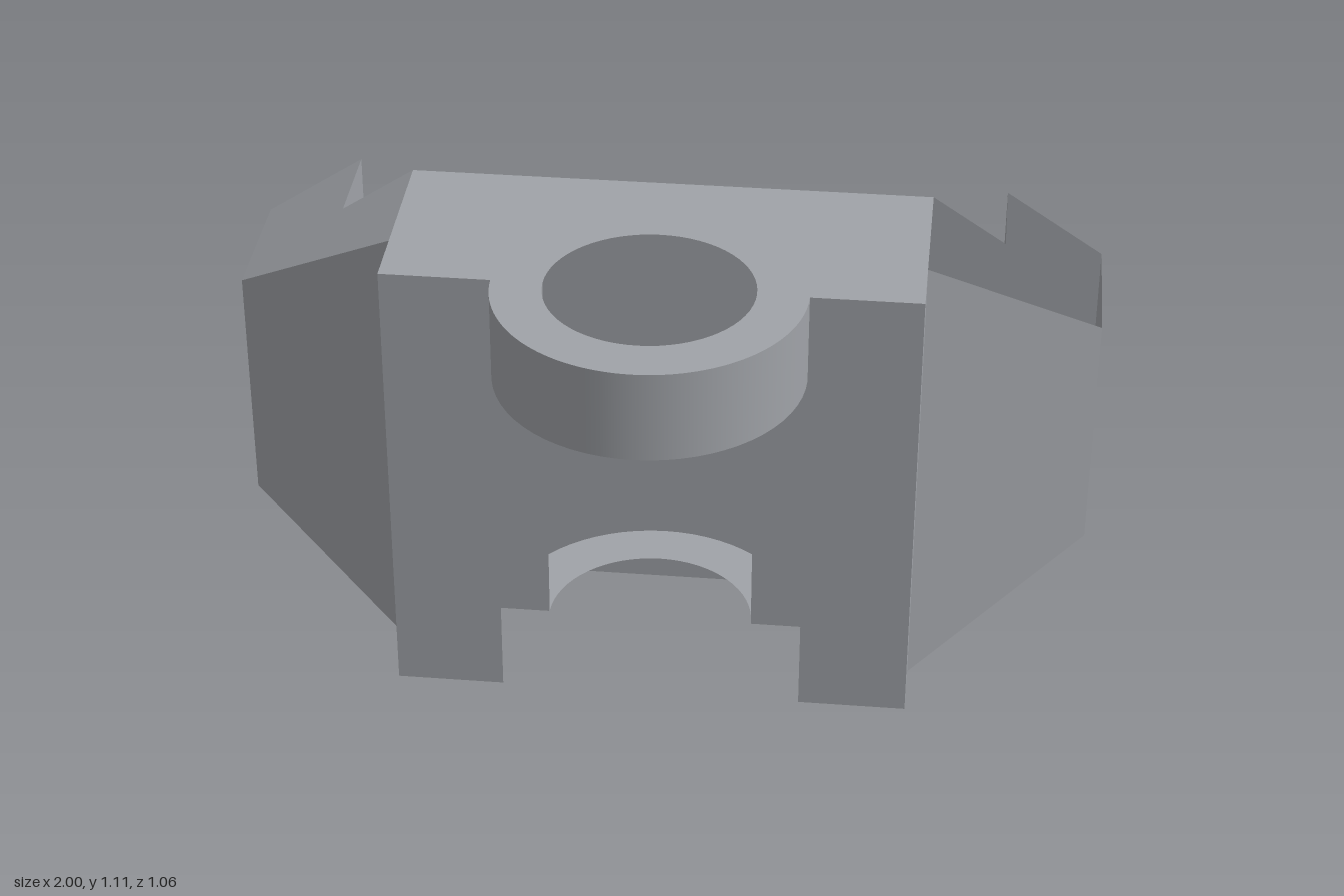
import * as THREE from 'three';

const H = 1.11, RING_Y = 0.895, LEDGE_Y = 0.22;
const FRONT = 0.18, BACK = -0.29, R_IN = 0.235, R_OUT = 0.35;

// height of the sloped shoulders at a given x
const topAt = (x) => H - Math.max(0, Math.abs(x) - 0.6) * 0.6625;
const bottomAt = (x) => H - topAt(x);

// plan of one side, front to back, as [x, z]
const SIDE = [[0.6, FRONT], [0.6, 0.035], [1, -0.195], [1, -0.53], [0.77, -0.53], [0.77, BACK]];
const SIDE_NAMES = ['bodySide', 'frontBevel', 'armOuterFace', 'armBackFace', 'armInnerFace'];

const polygon = (pts) => new THREE.Shape(pts.map(([x, y]) => new THREE.Vector2(x, y)));

export function createModel() {
  const group = new THREE.Group();
  const grey = new THREE.MeshStandardMaterial({ color: 0xa0a3a8, side: THREE.DoubleSide });
  grey.name = 'grey';

  const add = (name, geo, y = 0, z = 0) => {
    const mesh = new THREE.Mesh(geo, grey);
    mesh.name = name;
    mesh.position.set(0, y, z);
    group.add(mesh);
  };

  // upright panel between two plan points, following the shoulder slopes
  const wall = (name, a, b) => {
    const corners = [
      [a[0], bottomAt(a[0]), a[1]], [b[0], bottomAt(b[0]), b[1]],
      [b[0], topAt(b[0]), b[1]], [a[0], topAt(a[0]), a[1]],
    ];
    const geo = new THREE.BufferGeometry();
    geo.setAttribute('position', new THREE.Float32BufferAttribute(corners.flat(), 3));
    geo.setIndex([0, 1, 2, 0, 2, 3]);
    geo.computeVertexNormals();
    add(name, geo);
  };

  // walls of both sides and arms
  for (const s of [1, -1]) {
    const prefix = s > 0 ? 'left' : 'right';
    for (let i = 0; i < SIDE.length - 1; i++) {
      const a = [s * SIDE[i][0], SIDE[i][1]], b = [s * SIDE[i + 1][0], SIDE[i + 1][1]];
      wall(prefix + SIDE_NAMES[i], s > 0 ? a : b, s > 0 ? b : a);
    }
  }

  // sloped shoulders above and below the right arm; the left arm is open
  const plan = [...SIDE.slice(1), [0.6, BACK]].map(([x, z]) => [-x, -z]);
  for (const [name, rule, up] of [['rightTopShoulder', topAt, true], ['rightBottomShoulder', bottomAt, false]]) {
    const geo = new THREE.ShapeGeometry(polygon(plan)).rotateX(-Math.PI / 2);
    const pos = geo.attributes.position;
    for (let i = 0; i < pos.count; i++) pos.setY(i, rule(pos.getX(i)));
    if (!up) geo.index.array.reverse();
    geo.computeVertexNormals();
    add(name, geo);
  }

  // eight-sided back plate
  const t = topAt(0.77), b = bottomAt(0.77);
  const back = polygon([[-0.6, 0], [0.6, 0], [0.77, b], [0.77, t], [0.6, H], [-0.6, H], [-0.77, t], [-0.77, b]]);
  add('backPlate', new THREE.ShapeGeometry(back).rotateY(Math.PI), 0, BACK);

  // front plate in two halves around the stepped opening
  for (const s of [1, -1]) {
    const half = polygon([[0.6, 0], [0.6, H], [R_OUT, H], [R_OUT, RING_Y], [R_IN, RING_Y],
      [R_IN, LEDGE_Y], [R_OUT, LEDGE_Y], [R_OUT, 0]].map(([x, y]) => [s * x, y]));
    add(s > 0 ? 'leftFrontPlate' : 'rightFrontPlate', new THREE.ShapeGeometry(half), 0, FRONT);
  }

  // top plate with the ring outline and round hole
  const top = new THREE.Shape();
  top.moveTo(-0.6, -BACK);
  top.lineTo(-0.6, -FRONT);
  top.lineTo(-R_OUT, -FRONT);
  top.absarc(0, -FRONT, R_OUT, Math.PI, Math.PI * 2, false);
  top.lineTo(0.6, -FRONT);
  top.lineTo(0.6, -BACK);
  top.closePath();
  top.holes.push(new THREE.Path().absarc(0, -FRONT, R_IN, 0, Math.PI * 2, true));
  add('topPlate', new THREE.ShapeGeometry(top, 32).rotateX(-Math.PI / 2), H);

  // front half of the ring: outer and inner walls
  for (const [name, r] of [['ringOuterWall', R_OUT], ['ringInnerWall', R_IN]]) {
    const geo = new THREE.CylinderGeometry(r, r, H - RING_Y, 32, 1, true, -Math.PI / 2, Math.PI);
    add(name, geo, (H + RING_Y) / 2, FRONT);
  }

  // ring underside, and the ledge inside the body
  const halfRing = (start) => new THREE.RingGeometry(R_IN, R_OUT, 32, 1, start, Math.PI).rotateX(Math.PI / 2);
  add('ringUnderside', halfRing(0), RING_Y, FRONT);
  add('innerLedge', halfRing(Math.PI), LEDGE_Y, FRONT);

  return group;
}
